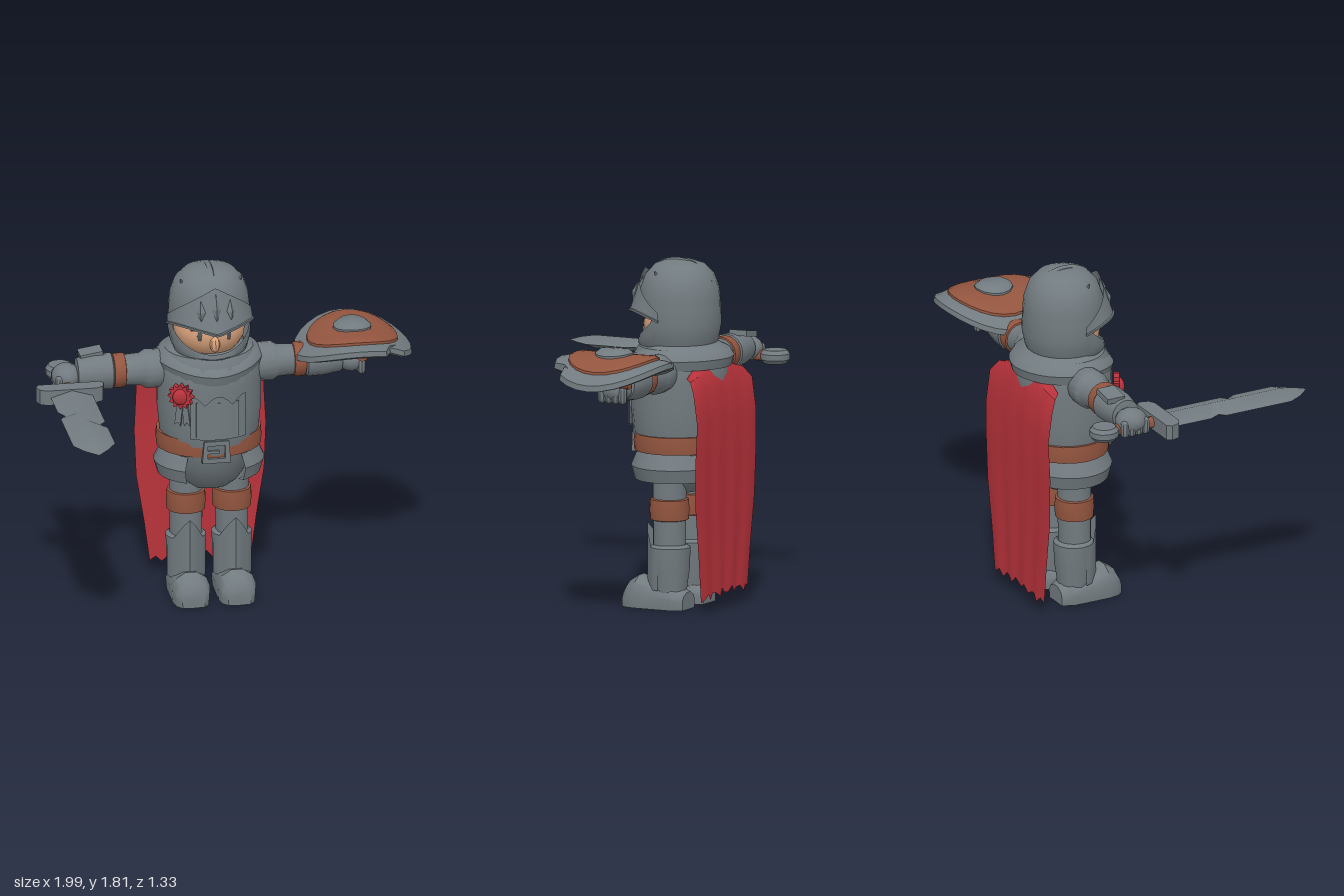
import * as THREE from 'three';
import { toCreasedNormals } from 'three/addons/utils/BufferGeometryUtils.js';

const mat = (name, color) => new THREE.MeshStandardMaterial({ name, color, side: THREE.DoubleSide });
const steel = mat('steel', 0x727b80);
const leather = mat('leather', 0x93553f);
const red = mat('red cloth', 0xb8323b);
const skin = mat('skin', 0xd9a27c);
const dark = mat('eye grey', 0x4c5358);
const brow = mat('brow brown', 0x5f3a2b);

const lerp = THREE.MathUtils.lerp;

export function createModel() {
  const root = new THREE.Group();
  root.name = 'knight';
  // the body axis stands slightly off the origin; everything below is relative to it
  const body = new THREE.Group();
  body.name = 'body';
  body.position.set(-0.07, 0, -0.36);
  root.add(body);

  function add(name, geo, material, pos = [0, 0, 0], rot = [0, 0, 0], scale = [1, 1, 1], parent = body) {
    const m = new THREE.Mesh(toCreasedNormals(geo, 0.65), material);
    m.name = name;
    m.position.set(...pos);
    m.rotation.set(...rot);
    m.scale.set(...scale);
    parent.add(m);
    return m;
  }
  // surface from a rule f(u, v) -> [x, y, z], optionally closed around u
  function grid(nu, nv, f, wrap = false) {
    const p = [], idx = [], w = wrap ? nu : nu + 1;
    for (let j = 0; j <= nv; j++) for (let i = 0; i < w; i++) p.push(...f(i / nu, j / nv));
    for (let j = 0; j < nv; j++) for (let i = 0; i < nu; i++) {
      const a = j * w + i, b = j * w + (i + 1) % w, c = a + w, d = b + w;
      idx.push(a, b, d, a, d, c);
    }
    const g = new THREE.BufferGeometry();
    g.setAttribute('position', new THREE.Float32BufferAttribute(p, 3));
    g.setIndex(idx);
    return g;
  }
  const lathe = (pts, seg = 24, start = 0, len = Math.PI * 2) =>
    new THREE.LatheGeometry(pts.map(p => new THREE.Vector2(...p)), seg, start, len);
  const polar = (r, a, y, zs = 1) => [r * Math.sin(a), y, r * Math.cos(a) * zs];
  const box = (x, y, z) => new THREE.BoxGeometry(x, y, z);
  const plate = (pts, depth) => new THREE.ExtrudeGeometry(
    new THREE.Shape(pts.map(p => new THREE.Vector2(...p))), { depth, bevelEnabled: false });

  // torso, belt and skirt
  const flat = [1, 1, 0.91];
  add('torso', lathe([[0, 0.59], [0.11, 0.6], [0.16, 0.64], [0.21, 0.73], [0.25, 0.83], [0.262, 0.95],
    [0.272, 1.05], [0.27, 1.2], [0.268, 1.3], [0.23, 1.36], [0, 1.38]]), steel, [0, 0, 0], [0, 0, 0], flat);
  add('belt', lathe([[0.25, 0.82], [0.272, 0.82], [0.276, 0.865], [0.272, 0.91], [0.25, 0.91]]), leather, [0, 0, -0.01], [0, 0, 0], [1, 1, 0.87]);
  add('hipPlates', lathe([[0.23, 0.67], [0.268, 0.67], [0.288, 0.74], [0.25, 0.82]], 24, 0.58, Math.PI * 2 - 1.16),
    steel, [0, 0, 0], [0, 0, 0], [1, 1, 0.84]);
  const buckle = new THREE.Shape([[-0.075, -0.06], [0.075, -0.06], [0.065, 0.06], [-0.065, 0.06]].map(p => new THREE.Vector2(...p)));
  buckle.holes.push(new THREE.Path([[-0.045, -0.035], [-0.045, 0.035], [0.045, 0.035], [0.045, -0.035]].map(p => new THREE.Vector2(...p))));
  add('buckle', new THREE.ExtrudeGeometry(buckle, { depth: 0.03, bevelEnabled: false }), steel, [0, 0.855, 0.212]);
  add('buckleTongue', box(0.06, 0.016, 0.02), steel, [-0.015, 0.855, 0.23]);

  // chest panel with a pointed upper edge, laid on the curved breast
  const chestZ = x => 0.91 * Math.sqrt(0.27 * 0.27 - x * x);
  add('chestPanel', grid(12, 1, (u, v) => {
    const x = lerp(-0.135, 0.155, u);
    const top = 1.12 + 0.05 * Math.abs(Math.cos(u * Math.PI * 2));
    return [x, v ? top : 0.93, chestZ(x) + 0.012];
  }), steel);
  for (const x of [-0.1, 0.01, 0.11]) add('chestRib', box(0.014, 0.19, 0.02), steel, [x, 1.04, chestZ(x) + 0.008]);

  // rosette and its ribbons
  const star = [];
  for (let i = 0; i < 24; i++) {
    const r = i % 2 ? 0.052 : 0.07, a = i * Math.PI / 12;
    star.push([r * Math.cos(a), r * Math.sin(a)]);
  }
  add('rosette', plate(star, 0.03), red, [-0.175, 1.17, 0.2], [0, -0.5, 0]);
  add('rosetteCentre', new THREE.SphereGeometry(0.045, 10, 6), red, [-0.185, 1.17, 0.225], [0, 0, 0], [1, 1, 0.6]);
  for (const s of [-1, 1]) add('rosetteRibbon', plate([[-0.017, 0], [0.017, 0], [0.017, -0.14], [0, -0.12], [-0.017, -0.14]], 0.01),
    steel, [-0.17 + s * 0.01, 1.14, 0.2], [0, -0.6, s * 0.12]);

  // gorget around the neck, dipping to a point in front
  const gorget = [[0.23, 1.25], [0.29, 1.26], [0.305, 1.31], [0.28, 1.345], [0.2, 1.38]];
  add('collar', grid(32, 4, (u, v) => {
    const a = u * Math.PI * 2, [r, y] = gorget[Math.round(v * 4)];
    const front = Math.max(0, Math.cos(a));
    const p = polar(r * (1 - 0.08 * Math.abs(Math.sin(a))), a, y - 0.035 * front ** 3, 0.9);
    p[2] -= 0.012;
    return p;
  }, true), steel);

  // helmet dome, lower shell with face opening, crests and visor
  add('helmetDome', lathe([[0.212, 1.52], [0.21, 1.6], [0.203, 1.66], [0.178, 1.73], [0.13, 1.78], [0.07, 1.8], [0, 1.805]]), steel);
  add('helmetShell', grid(36, 3, (u, v) => {
    const a = (u - 0.5) * Math.PI * 2, s = Math.min(1, Math.abs(a) / 1.35);
    const top = s < 1 ? 1.385 + 0.13 * s * s : 1.56;
    const r = [0.16, 0.2, 0.216, 0.212][Math.round(v * 3)];
    return polar(r, a, lerp(1.31, top, v));
  }, true), steel);
  for (const x of [-0.1, 0, 0.1]) {
    const k = Math.abs(x) > 0 ? 0.03 : 0;
    const path = new THREE.CatmullRomCurve3([[0.17, 1.7], [0.1, 1.775], [0, 1.795], [-0.1, 1.77], [-0.175, 1.69]]
      .map(([z, y]) => new THREE.Vector3(x * (1 - Math.abs(z) * 1.2), y - k, z * (k ? 0.85 : 1))));
    add('helmetCrest', new THREE.TubeGeometry(path, 12, 0.02, 5), steel);
  }
  for (const s of [-1, 1]) add('helmetSpike', new THREE.ConeGeometry(0.025, 0.06, 4), steel, [s * 0.15, 1.735, 0.06], [0.2, 0, -s * 0.4]);
  const visor = (a, v) => {
    const s = Math.abs(a) / 1.5;
    const y = lerp(1.515 + 0.035 * Math.sin(Math.PI * s) - 0.01 * s, 1.75 - 0.2 * s ** 1.1, v);
    return polar(0.222 + (1 - s) * (0.052 - 0.075 * v), a, y);
  };
  add('visor', grid(24, 4, (u, v) => visor((u - 0.5) * 3, v)), steel);
  add('visorRim', new THREE.TubeGeometry(new THREE.CatmullRomCurve3(
    Array.from({ length: 17 }, (_, i) => new THREE.Vector3(...visor((i / 16 - 0.5) * 3, 0)))), 32, 0.008, 5), steel);
  for (const a of [-0.34, 0, 0.34]) add('visorSlot', new THREE.OctahedronGeometry(1), steel,
    visor(a, a ? 0.52 : 0.55), [-0.25, a, 0], [0.024, a ? 0.06 : 0.08, 0.018]);

  // face
  add('face', new THREE.SphereGeometry(0.185, 20, 12), skin, [0, 1.47, 0.005], [0, 0, 0], [1, 0.85, 1]);
  add('nose', new THREE.SphereGeometry(0.034, 8, 6), skin, [0, 1.435, 0.185], [-0.2, 0, 0], [0.8, 1.3, 0.8]);
  for (const s of [-1, 1]) {
    add('eye', new THREE.SphereGeometry(0.022, 10, 8), dark, [s * 0.073, 1.472, 0.166], [0, s * 0.4, 0], [0.85, 1.15, 0.4]);
    add('eyebrow', box(0.075, 0.012, 0.012), brow, [s * 0.085, 1.51, 0.161], [0, s * 0.45, -s * 0.15]);
  }

  // legs and arms, mirrored
  const bootRows = [[-0.11, 0, 0.05], [-0.11, 0.07, 0.09], [-0.05, 0.098, 0.12], [0.08, 0.1, 0.14], [0.16, 0.1, 0.165],
    [0.215, 0.088, 0.13], [0.245, 0.06, 0.08], [0.25, 0, 0.05]];
  const bootSection = [[-0.95, 0], [-1, 0.5], [-0.8, 0.8], [-0.3, 1], [0.3, 1], [0.8, 0.8], [1, 0.5], [0.95, 0]];
  for (const s of [-1, 1]) {
    const leg = new THREE.Group();
    leg.name = s > 0 ? 'leftLeg' : 'rightLeg';
    leg.position.x = s * 0.12;
    body.add(leg);
    const L = (n, g, m, p, r, c) => add(n, g, m, p, r, c, leg);
    L('thigh', lathe([[0.085, 0.3], [0.087, 0.5], [0.09, 0.72]], 16), steel);
    L('kneeStrap', lathe([[0.085, 0.46], [0.1, 0.465], [0.104, 0.515], [0.1, 0.57], [0.085, 0.575]], 16), leather);
    L('shinArmour', lathe([[0.085, 0.06], [0.088, 0.12], [0.1, 0.2], [0.105, 0.32], [0.085, 0.335]], 16), steel, [0, 0, -0.005]);
    L('greave', grid(16, 3, (u, v) => {
      const a = (u - 0.5) * 2.8, t = Math.abs(a) / 1.4;
      const r = 0.102 + 0.024 * Math.max(0, 1 - t * 2.4);
      return polar(r, a, lerp(0.1, 0.44 - 0.13 * Math.min(1, t * 1.5), v));
    }), steel);
    L('boot', grid(8, 7, (u, v) => {
      const [z, w, h] = bootRows[Math.round(v * 7)], q = bootSection[Math.round(u * 8) % 8];
      return [q[0] * w, q[1] * h, z];
    }, true), steel);

    const arm = new THREE.Group();
    arm.name = s > 0 ? 'leftArm' : 'rightArm';
    arm.position.set(0, 1.245, -0.01);
    arm.rotation.z = -s * Math.PI / 2;
    body.add(arm);
    const A = (n, g, m, p, r, c) => add(n, g, m, p, r, c, arm);
    A('shoulder', lathe([[0.08, 0.2], [0.1, 0.25], [0.102, 0.33], [0.085, 0.36], [0.08, 0.44]], 16), steel);
    A('armStrap', lathe([[0.075, 0.438], [0.088, 0.442], [0.09, 0.47], [0.088, 0.5], [0.075, 0.503]], 16), leather);
    A('forearm', lathe([[0.076, 0.5], [0.094, 0.51], [0.092, 0.6], [0.078, 0.69], [0, 0.7]], 16), steel);
    A('cuff', box(0.03, 0.12, 0.1), steel, [-s * 0.088, 0.61, -0.045], [0, 0, -s * 0.15]);
    A('hand', new THREE.SphereGeometry(0.08, 14, 10), steel, [s * 0.012, 0.745, 0], [0, 0, 0], [0.85, 0.95, 1.08]);
    for (let i = 0; i < 4; i++) A('finger', new THREE.CapsuleGeometry(0.022, 0.05, 3, 8), steel,
      [s * 0.035, 0.79, -0.06 + i * 0.04], [0, 0, Math.PI / 2]);
  }

  // sword: pommel, grip, guard and a notched diamond blade
  const sword = new THREE.Group();
  sword.name = 'sword';
  sword.position.set(-0.75, 1.2, 0);
  body.add(sword);
  const S = (n, g, m, p, r, c) => add(n, g, m, p, r, c, sword);
  S('pommel', lathe([[0, -0.035], [0.06, -0.035], [0.076, -0.015], [0.076, 0.015], [0.06, 0.035], [0, 0.035]], 14), steel, [0, 0, -0.17]);
  S('grip', new THREE.CylinderGeometry(0.03, 0.03, 0.29, 10), leather, [0, 0, 0], [Math.PI / 2, 0, 0]);
  S('guard', plate([[-0.178, -0.02], [-0.165, 0.025], [-0.13, 0.045], [0.13, 0.045], [0.165, 0.025], [0.178, -0.02], [0.16, -0.045], [-0.16, -0.045]], 0.08),
    steel, [0, 0.04, 0.155], [Math.PI / 2, 0, 0]);
  const blade = [[0.19, -0.11, 0.11], [0.4, -0.11, 0.11], [0.46, -0.08, 0.11], [0.49, -0.11, 0.11], [0.57, -0.11, 0.11],
    [0.6, -0.11, 0.08], [0.65, -0.11, 0.11], [0.87, -0.11, 0.11], [0.95, -0.065, 0.06], [1.02, 0, 0]];
  S('blade', grid(4, 9, (u, v) => {
    const [z, l, r] = blade[Math.round(v * 9)], h = v === 1 ? 0 : v > 0.85 ? 0.02 : 0.034;
    return [[l, 0, z], [0, h, z], [r, 0, z], [0, -h, z]][Math.round(u * 4) % 4];
  }, true), steel);

  // round shield, bent over the forearm
  const shield = new THREE.Group();
  shield.name = 'shield';
  shield.position.set(0.75, 1.375, 0);
  body.add(shield);
  const bent = (pts, seg, dent = false) => {
    const g = grid(seg, pts.length - 1, (u, v) => {
      const [r0, y] = pts[Math.round(v * (pts.length - 1))], a = u * Math.PI * 2;
      const r = dent && r0 > 0.27 && Math.abs(a - 0.7) < 0.1 ? r0 - 0.045 : r0;
      const x = r * Math.sin(a);
      return [x, y - 1.0 * x * x, r * Math.cos(a)];
    }, true);
    return g;
  };
  const Q = (n, g, m, p, r) => add(n, g, m, p, r, [1, 1, 1], shield);
  Q('shieldPlate', bent([[0, -0.035], [0.15, -0.035], [0.29, -0.03], [0.31, -0.015], [0.305, 0.012], [0.26, 0.022], [0.23, 0.022]], 28, true), steel);
  Q('shieldLeather', bent([[0.238, 0.01], [0.235, 0.035], [0.215, 0.043], [0.15, 0.043], [0.05, 0.043], [0, 0.043]], 24), leather);
  Q('shieldBoss', bent([[0.1, 0.03], [0.1, 0.052], [0.075, 0.07], [0, 0.072]], 12), steel);
  Q('shieldGrip', new THREE.CylinderGeometry(0.03, 0.03, 0.2, 10), leather, [0.04, -0.1, -0.01], [Math.PI / 2, 0, 0]);

  // cape, hung from the collar, with a ragged hem
  const fall = [[1.32, -0.18, 0.24], [1.26, -0.225, 0.3], [1.16, -0.255, 0.335], [1, -0.272, 0.335], [0.8, -0.268, 0.345],
    [0.55, -0.265, 0.335], [0.3, -0.263, 0.295], [0.09, -0.262, 0.265]];
  add('cape', grid(16, 7, (u, v) => {
    const [y, z, w] = fall[Math.round(v * 7)], k = u * 2 - 1;
    const hem = v === 1 ? 0.02 * Math.sin(u * 37) - 0.015 * k * k : 0;
    const drape = v < 0.4 ? 0.05 * (0.4 - v) * k * k : 0;
    return [k * w, y + hem - 0.1 * k * k * Math.max(0, 1 - v * 4), z + drape + 0.006 * Math.cos(u * 25) * v];
  }), red);
  return root;
}
